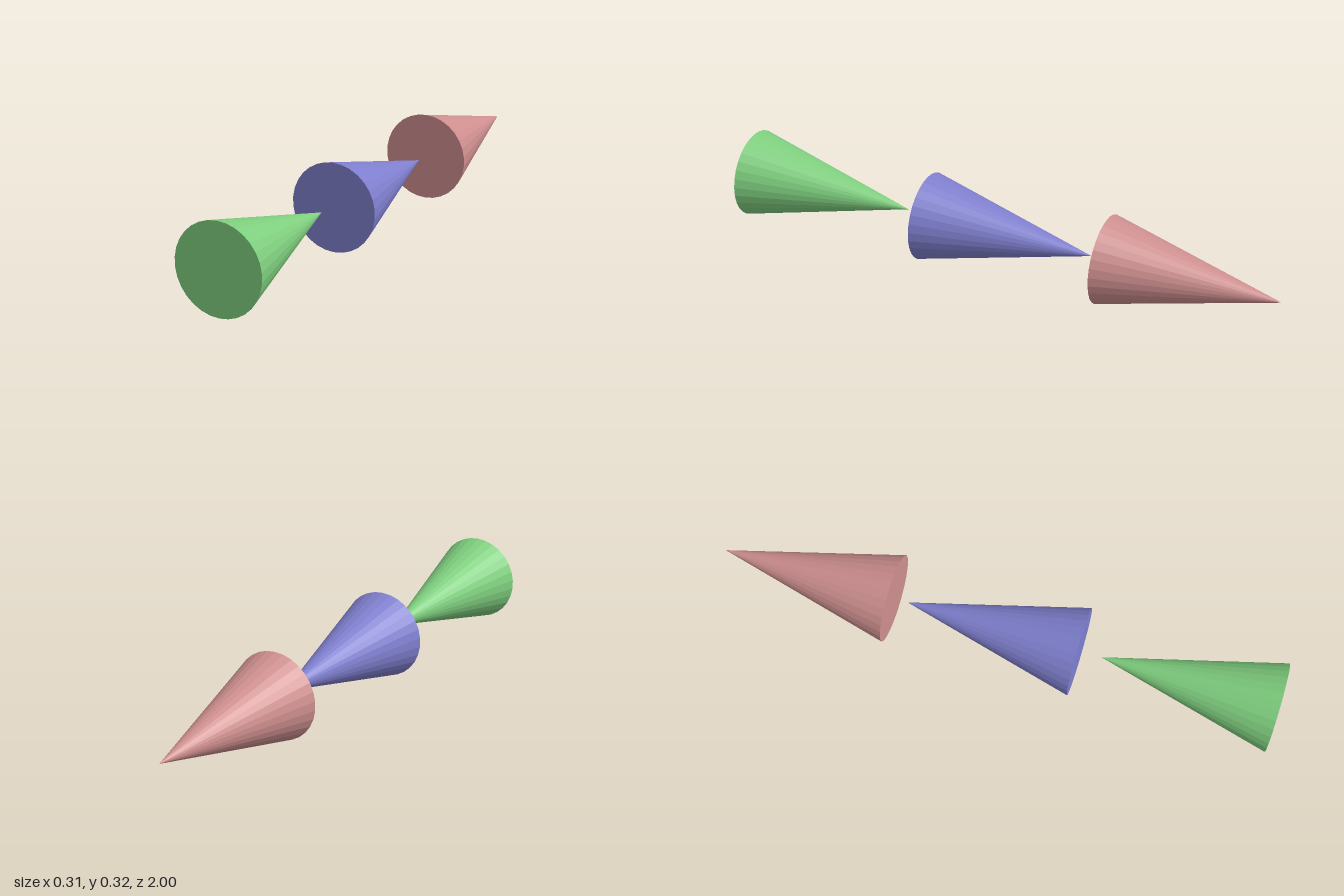
import * as THREE from 'three';

const RADIUS = 0.157;
const LENGTH = 0.624;

// Solid cone lying along z, its base facing the front and its tip the back
function makeCone(name, color, y, baseZ) {
  const geometry = new THREE.ConeGeometry(RADIUS, LENGTH, 30);
  geometry.rotateX(-Math.PI / 2);
  const material = new THREE.MeshStandardMaterial({ color, flatShading: true });
  const cone = new THREE.Mesh(geometry, material);
  cone.name = name;
  cone.position.set(0, y, baseZ - LENGTH / 2);
  return cone;
}

export function createModel() {
  const group = new THREE.Group();
  group.name = 'coneRow';

  // Three cones in a row; the front one sits slightly higher
  group.add(
    makeCone('frontCone', 0x7fcf7f, 0.164, 1),
    makeCone('middleCone', 0x7f7fcf, 0.157, 0.298),
    makeCone('backCone', 0xcf8f8f, 0.158, LENGTH - 1)
  );
  return group;
}
